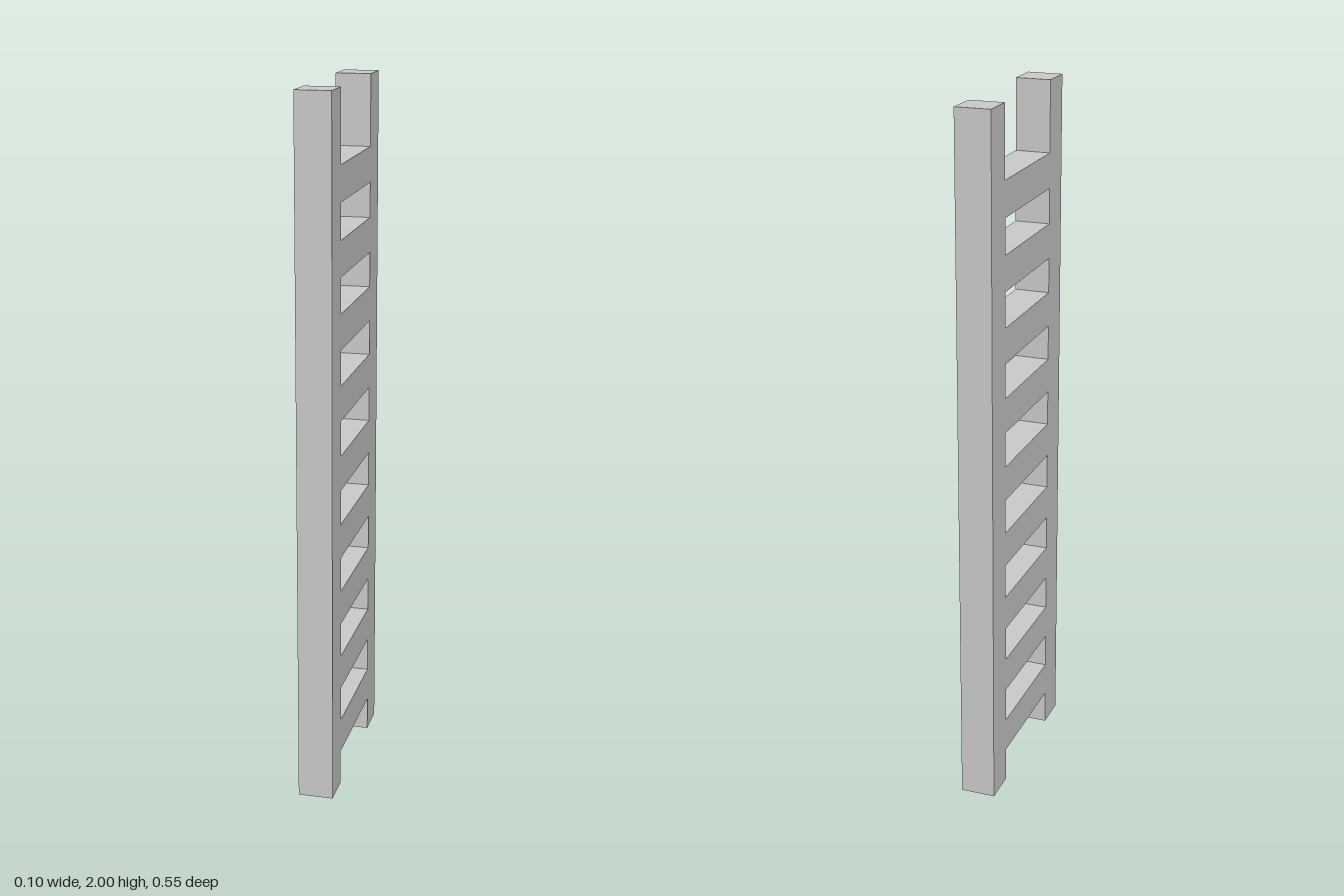
import * as THREE from 'three';

const THICK = 0.1;      // square section of rails and rungs
const HEIGHT = 2;
const GAP = 0.35;       // clear distance between the rails
const RUNGS = 9;
const SPACING = 0.2;

export function createModel() {
  const ladder = new THREE.Group();
  ladder.name = 'ladder';
  const material = new THREE.MeshStandardMaterial({ color: 0xcccccc, flatShading: true });

  const addPart = (name, geometry, y, z) => {
    const mesh = new THREE.Mesh(geometry, material);
    mesh.name = name;
    mesh.position.set(0, y, z);
    ladder.add(mesh);
  };

  // Two upright side rails
  const railGeometry = new THREE.BoxGeometry(THICK, HEIGHT, THICK);
  const railZ = (GAP + THICK) / 2;
  addPart('frontRail', railGeometry, HEIGHT / 2, railZ);
  addPart('backRail', railGeometry, HEIGHT / 2, -railZ);

  // Evenly spaced rungs, flush with the rails
  const rungGeometry = new THREE.BoxGeometry(THICK, THICK, GAP);
  for (let i = 0; i < RUNGS; i++) {
    addPart(`rung${i + 1}`, rungGeometry, 0.15 + i * SPACING, 0);
  }

  return ladder;
}
